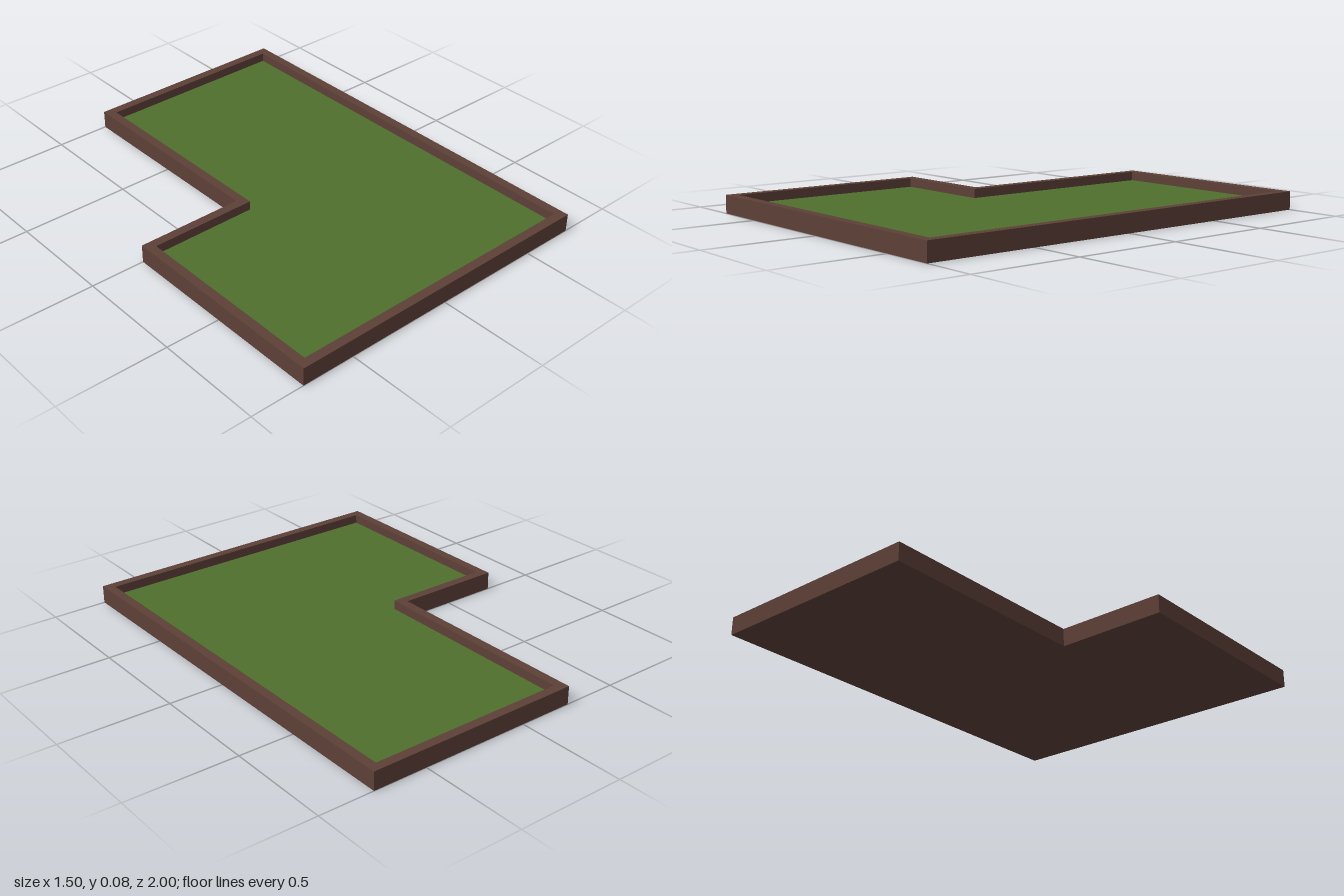
import * as THREE from 'three';

const HEIGHT = 0.083, GRASS_Y = 0.0415, RIM = 0.042;

// L-shaped outline, inset by d; shape y becomes -z once laid flat
function outline(d) {
  return [
    [-0.75 + d, -1 + d], [0.75 - d, -1 + d], [0.75 - d, 1 - d],
    [-0.25 + d, 1 - d], [-0.25 + d, -d], [-0.75 + d, -d],
  ].map(([x, y]) => new THREE.Vector2(x, y));
}

export function createModel() {
  const group = new THREE.Group();
  group.name = 'lawnBed';
  const brown = new THREE.MeshStandardMaterial({ name: 'brown', color: 0x5d4037 });
  const green = new THREE.MeshStandardMaterial({ name: 'green', color: 0x4e702d });

  function addFlat(name, geometry, material, y = 0) {
    geometry.rotateX(-Math.PI / 2);
    const mesh = new THREE.Mesh(geometry, material);
    mesh.name = name;
    mesh.position.y = y;
    group.add(mesh);
  }
  const extrude = (shape, depth) => new THREE.ExtrudeGeometry(shape, { depth, bevelEnabled: false });

  // Raised border around the bed
  const border = new THREE.Shape(outline(0));
  border.holes.push(new THREE.Path(outline(RIM)));
  addFlat('border', extrude(border, HEIGHT), brown);

  // Base slab closing the underside, with grass laid on it
  const inner = new THREE.Shape(outline(RIM));
  addFlat('base', extrude(inner, GRASS_Y - 0.004), brown);
  addFlat('grass', new THREE.ShapeGeometry(inner), green, GRASS_Y);

  return group;
}
